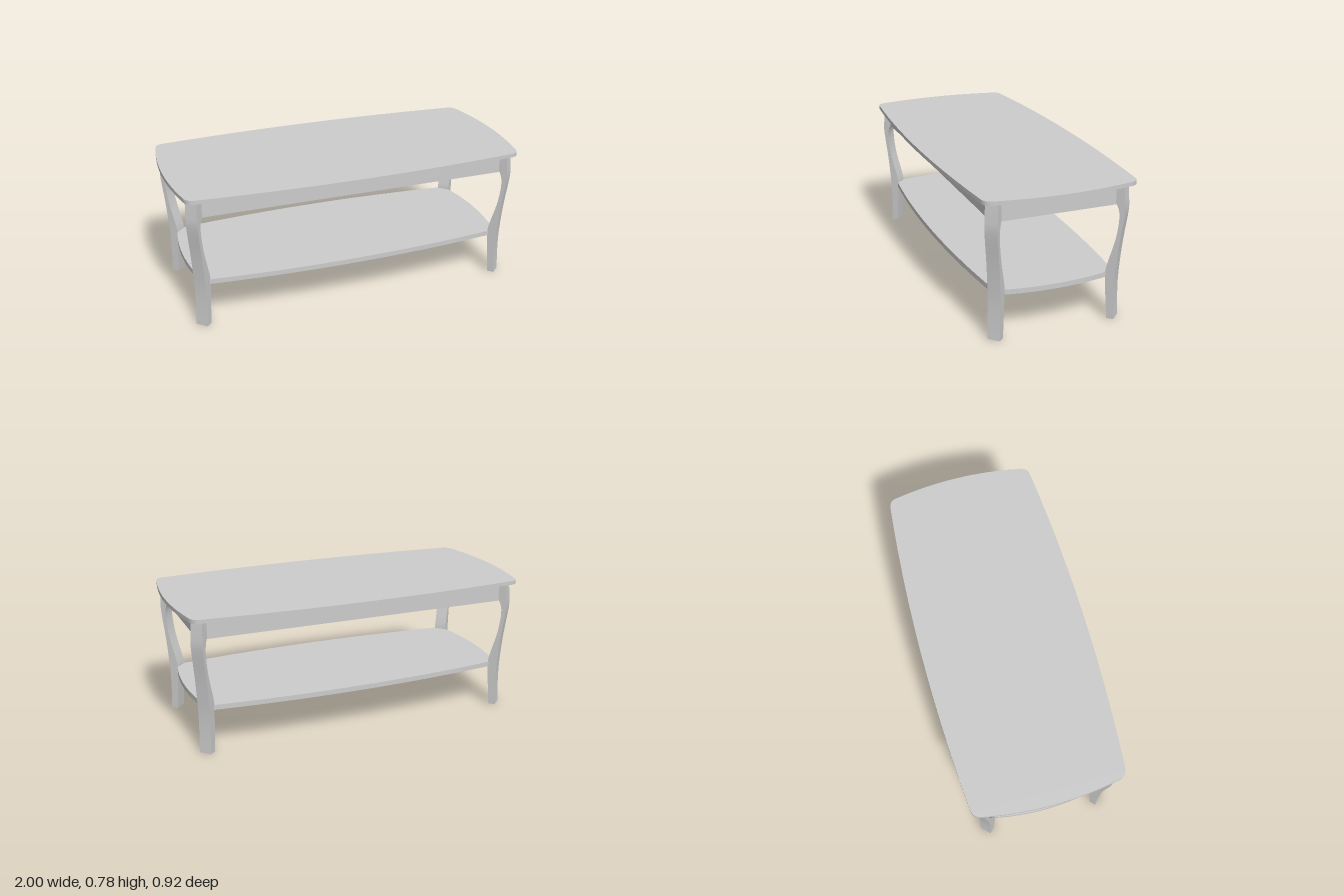
import * as THREE from 'three';
import { toCreasedNormals } from 'three/addons/utils/BufferGeometryUtils.js';

const V = (x, y) => new THREE.Vector2(x, y);

// Rectangle with bowed sides and softened corners, laid flat from y to y + height.
// cx, cz: corner position; bx, bz: furthest reach of the bowed sides; r: corner softening.
function bowedBoard(cx, cz, bx, bz, r, y, height) {
  const ex = cx - r, ez = cz - r * 1.2;
  const qx = 2 * bx - cx, qz = 2 * bz - cz;
  const s = new THREE.Shape();
  s.moveTo(-ex, -cz);
  s.quadraticCurveTo(0, -qz, ex, -cz);
  s.quadraticCurveTo(cx - r * 0.1, -cz + r * 0.1, cx, -ez);
  s.quadraticCurveTo(qx, 0, cx, ez);
  s.quadraticCurveTo(cx - r * 0.1, cz - r * 0.1, ex, cz);
  s.quadraticCurveTo(0, qz, -ex, cz);
  s.quadraticCurveTo(-cx + r * 0.1, cz - r * 0.1, -cx, ez);
  s.quadraticCurveTo(-qx, 0, -cx, -ez);
  s.quadraticCurveTo(-cx + r * 0.1, -cz + r * 0.1, -ex, -cz);
  const g = new THREE.ExtrudeGeometry(s, { depth: height, bevelEnabled: false, curveSegments: 12 });
  g.rotateX(-Math.PI / 2);
  g.translate(0, y, 0);
  return toCreasedNormals(g, 0.7);
}

// Side profile of the curved leg, measured outward along the diagonal
function legGeometry() {
  const width = 0.07;
  const outer = [V(0.494, 0), V(0.489, 0.12), V(0.490, 0.25), V(0.505, 0.43), V(0.527, 0.6), V(0.526, 0.67), V(0.518, 0.758)];
  const inner = [V(0.466, 0.758), V(0.472, 0.68), V(0.499, 0.6), V(0.485, 0.46), V(0.442, 0.3), V(0.438, 0.22), V(0.455, 0)];
  const points = [
    ...new THREE.SplineCurve(outer).getPoints(18),
    ...new THREE.SplineCurve(inner).getPoints(18),
  ];
  const g = new THREE.ExtrudeGeometry(new THREE.Shape(points), { depth: width, bevelEnabled: false });
  g.translate(0, 0, -width / 2);
  return toCreasedNormals(g, 0.7);
}

export function createModel() {
  const table = new THREE.Group();
  table.name = 'coffeeTable';
  const grey = new THREE.MeshStandardMaterial({ color: 0xcccccc });
  grey.name = 'light grey';

  const add = (name, geometry, x = 0, y = 0, z = 0) => {
    const mesh = new THREE.Mesh(geometry, grey);
    mesh.name = name;
    mesh.position.set(x, y, z);
    table.add(mesh);
    return mesh;
  };

  // Top and lower shelf
  add('tableTop', bowedBoard(0.965, 0.42, 1, 0.462, 0.05, 0.758, 0.022));
  add('shelf', bowedBoard(0.885, 0.335, 0.92, 0.384, 0.02, 0.239, 0.028));

  // Legs turned to the corners
  const leg = legGeometry();
  for (const sx of [-1, 1]) {
    for (const sz of [-1, 1]) {
      const name = (sz > 0 ? 'front' : 'back') + (sx > 0 ? 'Left' : 'Right') + 'Leg';
      add(name, leg, sx * 0.555).rotation.y = Math.atan2(-sz, sx);
    }
  }

  // Aprons under the top
  const longApron = new THREE.BoxGeometry(1.78, 0.106, 0.025);
  const shortApron = new THREE.BoxGeometry(0.025, 0.106, 0.67);
  for (const s of [-1, 1]) {
    add(s > 0 ? 'frontApron' : 'backApron', longApron, 0, 0.705, s * 0.35);
    add(s > 0 ? 'leftApron' : 'rightApron', shortApron, s * 0.905, 0.705, 0);
  }
  return table;
}
